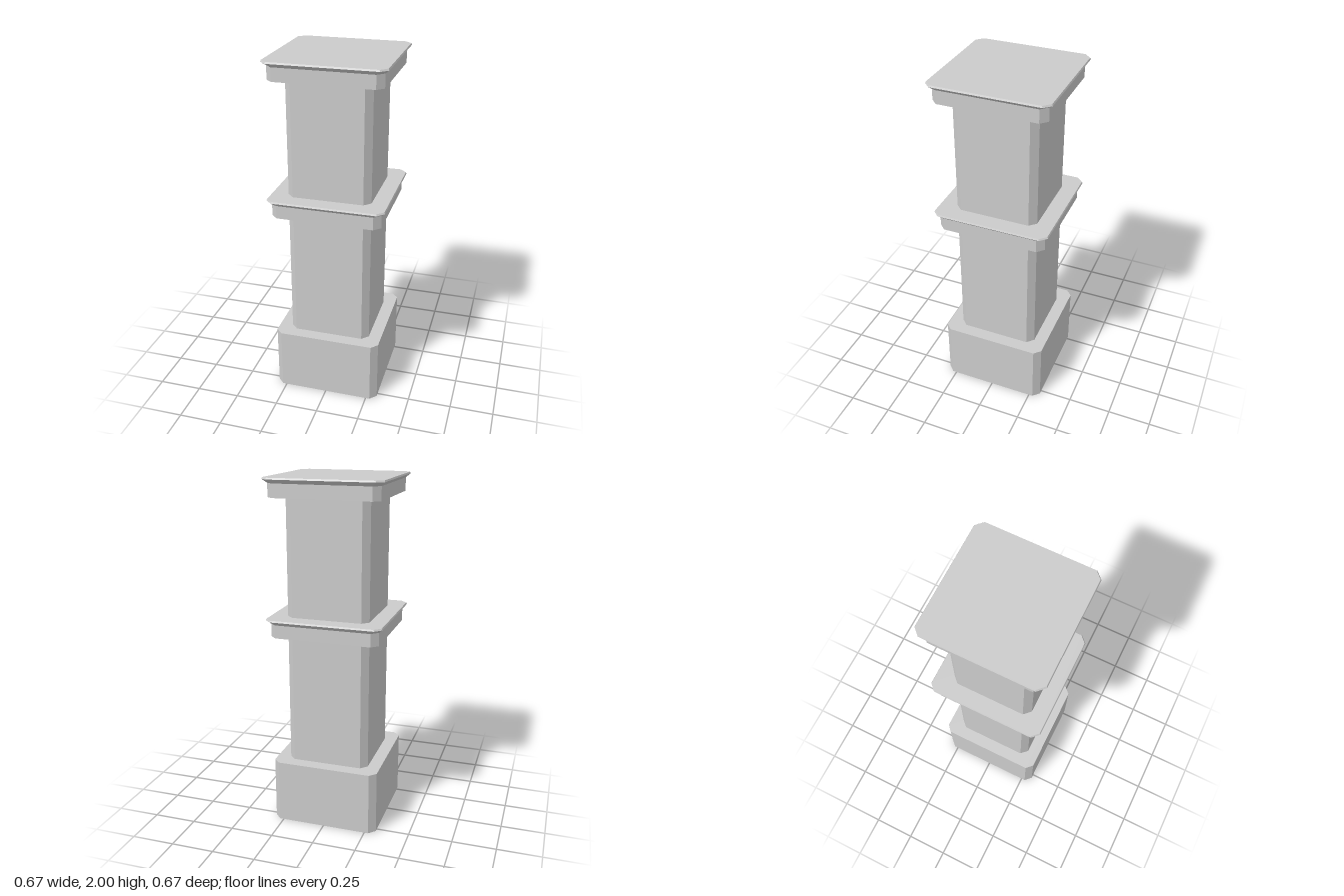
import * as THREE from 'three';

const CHAMFER = 0.037;

// Square outline with cut corners, counter-clockwise seen from above
function ring(half, y) {
  const c = half - CHAMFER;
  return [[half, c], [half, -c], [c, -half], [-c, -half], [-half, -c], [-half, c], [-c, half], [c, half]]
    .map(([x, z]) => new THREE.Vector3(x, y, z));
}

// Closed solid lofted through [half width, height] sections, bottom to top
function loft(sections) {
  const rings = sections.map(([half, y]) => ring(half, y));
  const points = [];
  const last = rings[rings.length - 1];
  for (let r = 0; r < rings.length - 1; r++) {
    const lo = rings[r], hi = rings[r + 1];
    for (let i = 0; i < 8; i++) {
      const j = (i + 1) % 8;
      points.push(lo[i], lo[j], hi[j], lo[i], hi[j], hi[i]);
    }
  }
  for (let i = 1; i < 7; i++) {
    points.push(rings[0][0], rings[0][i + 1], rings[0][i]);
    points.push(last[0], last[i], last[i + 1]);
  }
  const geometry = new THREE.BufferGeometry().setFromPoints(points);
  geometry.computeVertexNormals();
  return geometry;
}

export function createModel() {
  const group = new THREE.Group();
  const material = new THREE.MeshStandardMaterial({ color: 0xcccccc, flatShading: true });
  const add = (name, sections) => {
    const mesh = new THREE.Mesh(loft(sections), material);
    mesh.name = name;
    group.add(mesh);
  };

  // Plinth
  add('base', [[0.31, 0], [0.31, 0.37]]);

  // Two shafts, each crowned by a band with a flared lip
  [['lower', 0.37, 1.13], ['upper', 1.233, 1.895]].forEach(([level, bottom, top]) => {
    add(level + 'Shaft', [[0.237, bottom], [0.237, top]]);
    add(level + 'Cap', [
      [0.31, top], [0.31, top + 0.075],
      [0.333, top + 0.096], [0.329, top + 0.105],
    ]);
  });
  return group;
}
